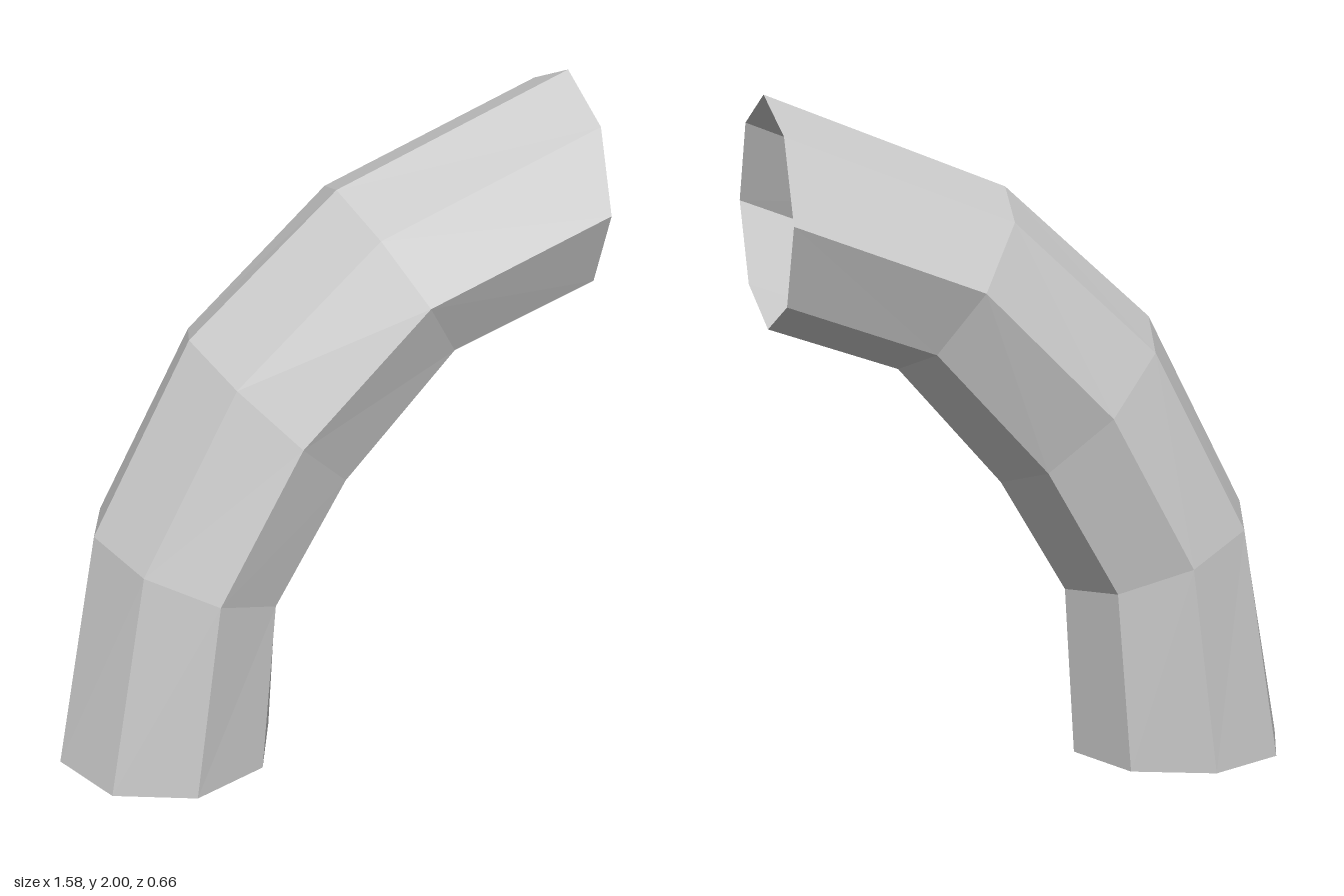
import * as THREE from 'three';

const SIDES = 8;
const HALF_WIDTH = 0.33;

// Each ring of the bend: outer x, outer y, inner x, inner y
const RINGS = [
  [-0.79, 0, -0.13, 0],
  [-0.66, 0.74, -0.1, 0.51],
  [-0.36, 1.32, 0.1, 0.85],
  [0.085, 1.72, 0.41, 1.205],
  [0.79, 2, 0.79, 1.34],
];

// Skin of the pipe, lofted through elliptical rings and open at both ends
function loftPipe() {
  const positions = [];
  const indices = [];
  RINGS.forEach(([ox, oy, ix, iy], r) => {
    const cx = (ox + ix) / 2;
    const cy = (oy + iy) / 2;
    for (let s = 0; s < SIDES; s++) {
      const a = (s / SIDES) * Math.PI * 2;
      positions.push(
        cx + (ox - cx) * Math.cos(a),
        cy + (oy - cy) * Math.cos(a),
        HALF_WIDTH * Math.sin(a),
      );
      if (r === 0) continue;
      const next = (s + 1) % SIDES;
      const lower = (r - 1) * SIDES;
      const upper = r * SIDES;
      indices.push(lower + s, lower + next, upper + next);
      indices.push(lower + s, upper + next, upper + s);
    }
  });
  const geometry = new THREE.BufferGeometry();
  geometry.setAttribute('position', new THREE.Float32BufferAttribute(positions, 3));
  geometry.setIndex(indices);
  geometry.computeVertexNormals();
  return geometry;
}

export function createModel() {
  const model = new THREE.Group();
  model.name = 'pipeElbow';

  // Thin curved pipe, visible inside and out
  const material = new THREE.MeshStandardMaterial({
    color: 0xcccccc,
    flatShading: true,
    side: THREE.DoubleSide,
  });
  const pipe = new THREE.Mesh(loftPipe(), material);
  pipe.name = 'bentPipe';
  model.add(pipe);

  return model;
}
